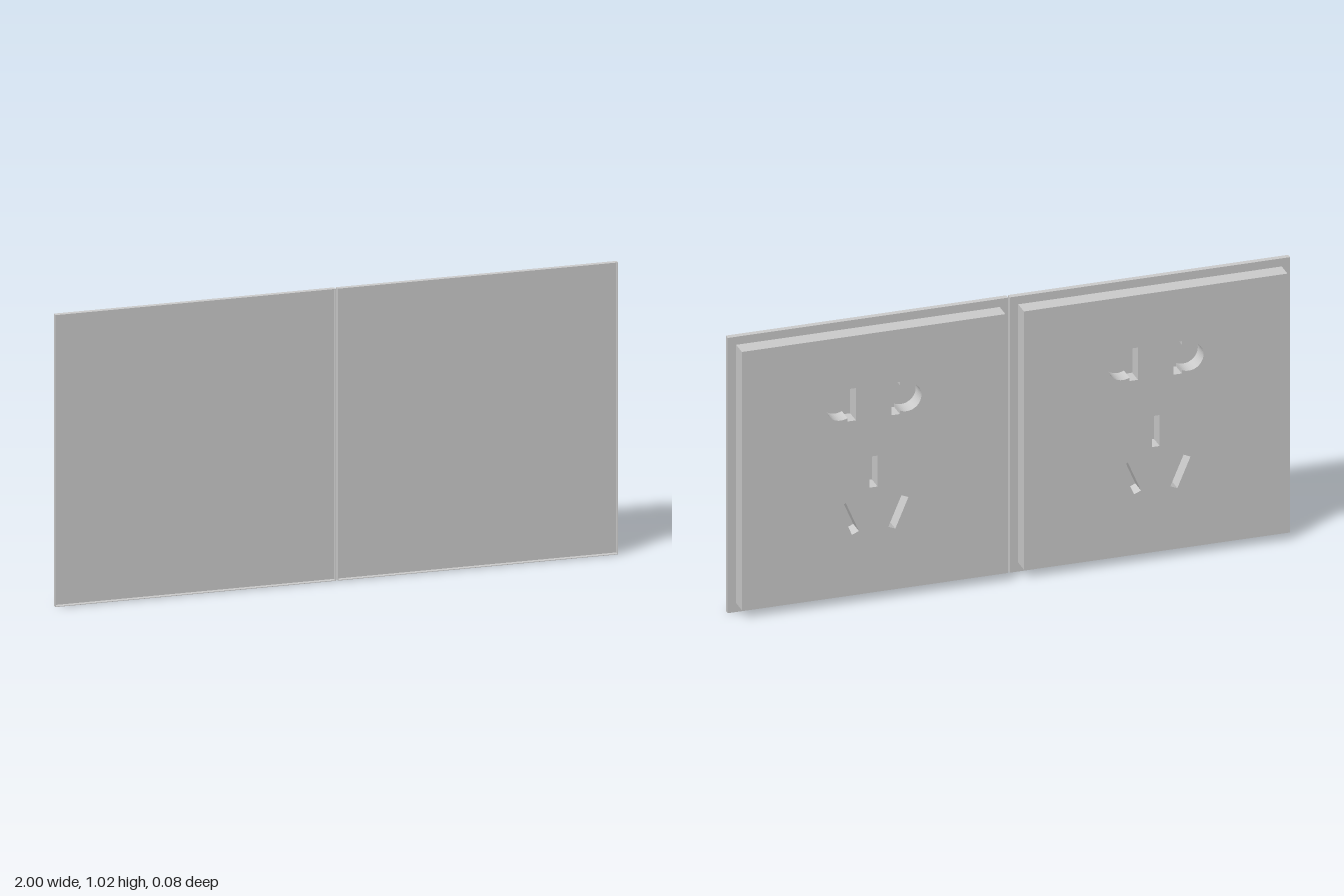
import * as THREE from 'three';

const MAT = new THREE.MeshStandardMaterial({ color: 0xcccccc, side: THREE.DoubleSide });

const H = 1.023;                 // plate height
const X0 = 0.003, X1 = 1;        // plate extent on one side
const CX = (X0 + X1) / 2;
const WALL = 0.002;

function rectPoints(w, h, cx = 0, cy = 0, angle = 0) {
  return [[-1, -1], [1, -1], [1, 1], [-1, 1]].map(([a, b]) =>
    new THREE.Vector2(a * w / 2, b * h / 2)
      .rotateAround(new THREE.Vector2(), angle)
      .add(new THREE.Vector2(cx, cy)));
}

const pathOf = (points) => new THREE.Path().setFromPoints(points);

function extrude(shape, z0, z1) {
  const geo = new THREE.ExtrudeGeometry(shape, { depth: z1 - z0, bevelEnabled: false });
  return geo.translate(0, 0, z0);
}

function add(group, name, geo) {
  const mesh = new THREE.Mesh(geo, MAT);
  mesh.name = name;
  group.add(mesh);
}

// Round pin hole merged with a flat blade slot on its inner side
function pinHole(side, y) {
  const inner = 0.063, outer = 0.093, half = 0.06, c = 0.117, r = 0.053;
  const a = Math.acos((outer - c) / r);
  const pts = [new THREE.Vector2(inner, -half), new THREE.Vector2(outer, -half)];
  for (let i = 0; i <= 32; i++) {
    const t = -a + (2 * a * i) / 32;
    pts.push(new THREE.Vector2(c + r * Math.cos(t), r * Math.sin(t)));
  }
  pts.push(new THREE.Vector2(outer, half), new THREE.Vector2(inner, half));
  return pathOf(pts.map((p) => new THREE.Vector2(p.x * side, p.y + y)));
}

function socketUnit() {
  const unit = new THREE.Group();

  // Shallow tray open to the front: thin rim and back panel
  const rim = new THREE.Shape(rectPoints(X1 - X0, H, 0, H / 2));
  rim.holes.push(pathOf(rectPoints(X1 - X0 - 2 * WALL, H - 2 * WALL, 0, H / 2)));
  add(unit, 'trayRim', extrude(rim, 0.02, 0.04));
  const panel = new THREE.Shape(rectPoints(X1 - X0, H, 0, H / 2));
  add(unit, 'trayPanel', extrude(panel, 0.02, 0.0215));

  // Socket block pierced by two round-and-blade holes and three slots
  const block = new THREE.Shape(rectPoints(0.937, 0.96, 0, 0.513));
  for (const side of [-1, 1]) {
    block.holes.push(pinHole(side, 0.738));
    block.holes.push(pathOf(rectPoints(0.027, 0.12, side * 0.088, 0.315, -side * 0.4)));
  }
  block.holes.push(pathOf(rectPoints(0.028, 0.115, 0, 0.478)));
  add(unit, 'socketBlock', extrude(block, -0.04, 0.02));
  return unit;
}

export function createModel() {
  const model = new THREE.Group();
  model.name = 'doubleWallSocket';
  for (const side of [-1, 1]) {
    const unit = socketUnit();
    unit.name = side > 0 ? 'leftSocket' : 'rightSocket';
    unit.position.x = side * CX;
    model.add(unit);
  }
  return model;
}
